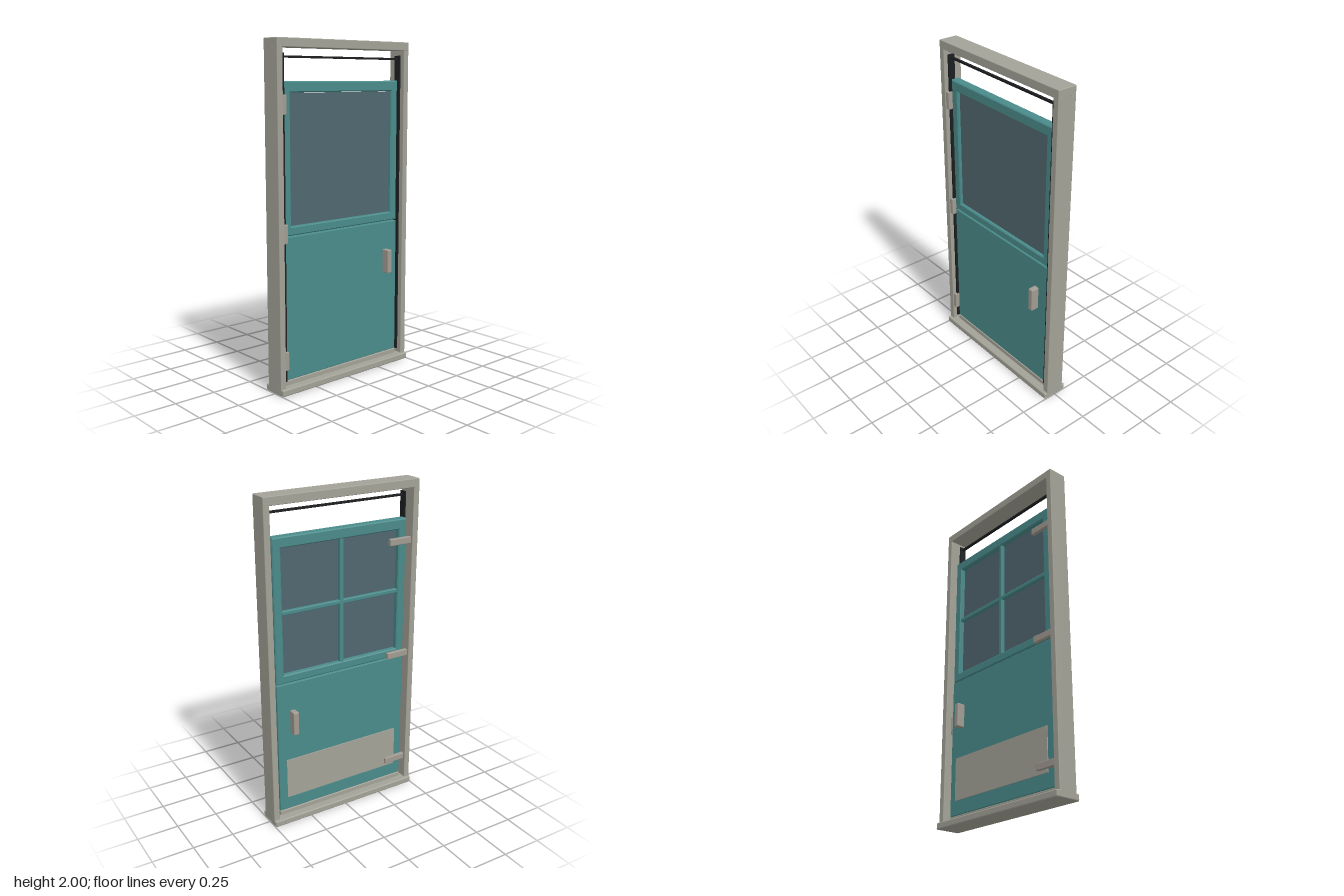
import * as THREE from 'three';
import { RoundedBoxGeometry } from 'three/addons/geometries/RoundedBoxGeometry.js';

const makeMaterial = (name, color) => {
  const m = new THREE.MeshStandardMaterial({ color });
  m.name = name;
  return m;
};

export function createModel() {
  const stone = makeMaterial('warm grey frame', 0xa3a297);
  const metal = makeMaterial('hardware grey', 0xa19b91);
  const teal = makeMaterial('teal paint', 0x4a8a8a);
  const pane = makeMaterial('slate glass', 0x50676f);
  const rubber = makeMaterial('black seal', 0x1c1e20);

  const model = new THREE.Group();
  model.name = 'door';

  // Box given by its min and max on each axis, with optionally rounded edges
  function block(name, mat, [x0, x1], [y0, y1], [z0, z1], r = 0) {
    const size = [x1 - x0, y1 - y0, z1 - z0];
    const geo = r ? new RoundedBoxGeometry(...size, 2, r) : new THREE.BoxGeometry(...size);
    const mesh = new THREE.Mesh(geo, mat);
    mesh.name = name;
    mesh.position.set((x0 + x1) / 2, (y0 + y1) / 2, (z0 + z1) / 2);
    model.add(mesh);
    return mesh;
  }

  // Surrounding frame and sill
  block('header', stone, [-0.5, 0.5], [1.95, 2], [-0.06, 0.06], 0.004);
  block('rightJamb', stone, [-0.5, -0.462], [0.03, 1.955], [-0.06, 0.06], 0.004);
  block('leftJamb', stone, [0.462, 0.5], [0.03, 1.955], [-0.06, 0.06], 0.004);
  block('sill', stone, [-0.5, 0.5], [0, 0.04], [-0.08, 0.08], 0.008);
  block('threshold', stone, [-0.44, 0.44], [0.035, 0.068], [-0.03, 0.03], 0.004);

  // Lower leaf and kick plate
  block('lowerLeaf', teal, [-0.44, 0.44], [0.07, 0.906], [-0.028, 0.028], 0.005);
  block('kickPlate', stone, [-0.39, 0.39], [0.155, 0.41], [-0.034, -0.026]);

  // Upper leaf with a bevelled window opening
  const outline = new THREE.Shape([
    new THREE.Vector2(-0.44, 0.912), new THREE.Vector2(0.44, 0.912),
    new THREE.Vector2(0.44, 1.77), new THREE.Vector2(-0.44, 1.77),
  ]);
  outline.holes.push(new THREE.Path([
    new THREE.Vector2(-0.388, 0.963), new THREE.Vector2(-0.388, 1.708),
    new THREE.Vector2(0.388, 1.708), new THREE.Vector2(0.388, 0.963),
  ]));
  const bevel = 0.006;
  const leafGeo = new THREE.ExtrudeGeometry(outline, {
    depth: 0.056 - 2 * bevel, bevelEnabled: true, bevelSize: bevel,
    bevelThickness: bevel, bevelOffset: -bevel, bevelSegments: 1,
  });
  const upperLeaf = new THREE.Mesh(leafGeo, teal);
  upperLeaf.name = 'upperLeaf';
  upperLeaf.position.z = -0.028 + bevel;
  model.add(upperLeaf);

  // Window pane with glazing bars behind it
  block('glass', pane, [-0.386, 0.386], [0.965, 1.706], [0, 0.01]);
  block('verticalBar', teal, [-0.013, 0.013], [0.96, 1.71], [-0.024, 0.002], 0.006);
  block('horizontalBar', teal, [-0.389, 0.389], [1.322, 1.348], [-0.024, 0.002], 0.006);

  // Black seals up both sides and across the top
  for (const s of [-1, 1]) {
    block('sideSeal', rubber, [s * 0.445 - 0.005, s * 0.445 + 0.005], [0.07, 1.92], [0, 0.042]);
  }
  block('topSeal', rubber, [-0.445, 0.445], [1.894, 1.906], [0.012, 0.026]);

  // Three hinges: barrel on the front, strap on the back
  for (const y of [0.195, 0.93, 1.643]) {
    block('hingeBarrel', metal, [-0.463, -0.434], [y - 0.055, y + 0.055], [0.025, 0.056], 0.005);
    block('hingeStrap', metal, [-0.46, -0.315], [y - 0.02, y + 0.02], [-0.05, -0.026], 0.004);
  }

  // Pull handles on both faces and the strike on the jamb
  block('frontHandle', metal, [0.324, 0.359], [0.588, 0.736], [0.025, 0.078], 0.007);
  block('backHandle', metal, [0.324, 0.359], [0.588, 0.736], [-0.078, -0.025], 0.007);
  block('strikePlate', metal, [0.452, 0.465], [0.58, 0.69], [-0.02, 0.02]);

  return model;
}
